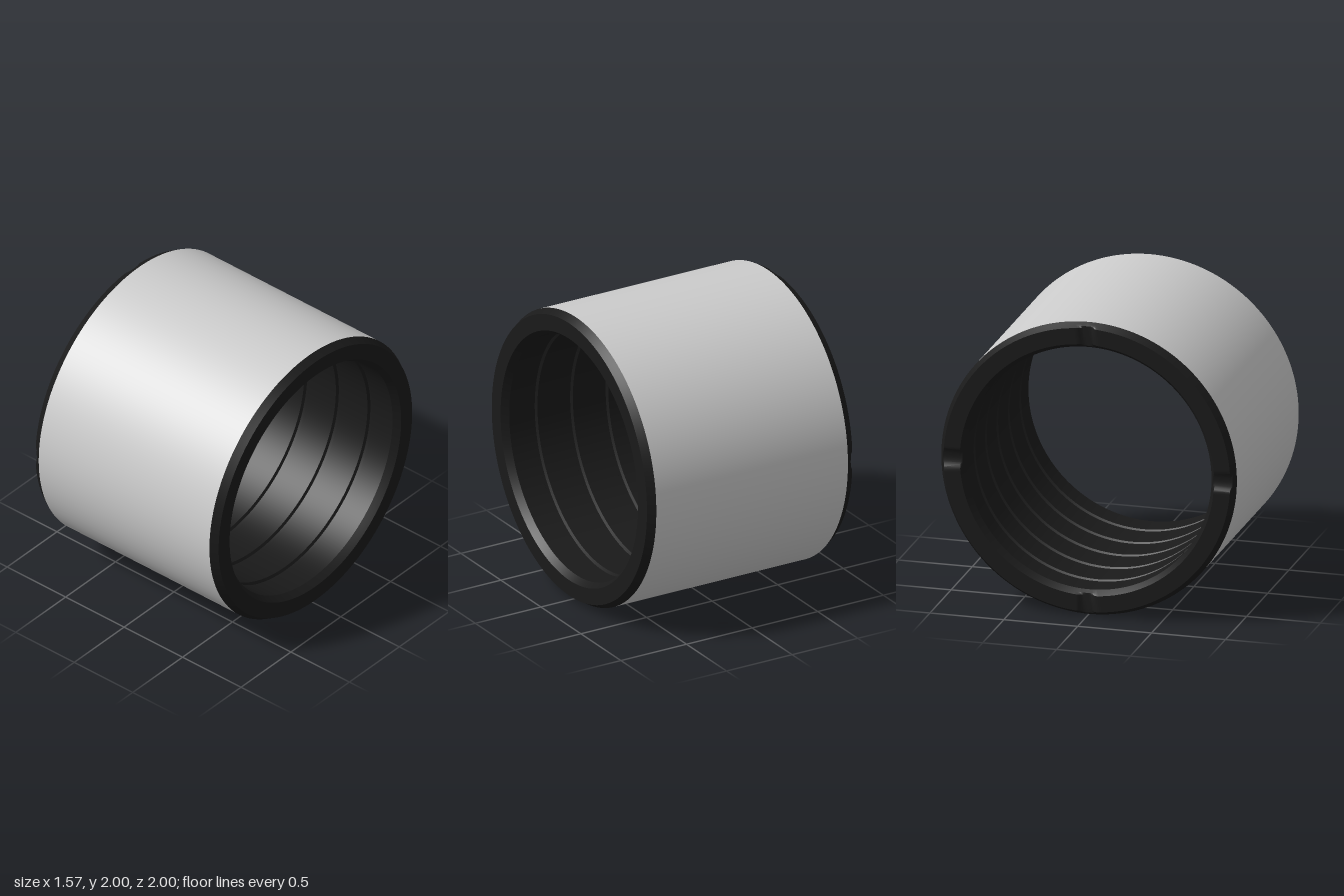
import * as THREE from 'three';
import { toCreasedNormals } from 'three/addons/utils/BufferGeometryUtils.js';

const SEGMENTS = 384;
const HALF = 0.783;       // half length of the bushing
const SLEEVE = 0.73;      // half length of the outer sleeve
const BORE = 0.83;

// Spin a [radius, position along x] profile about the x axis
function spin(points) {
  const g = new THREE.LatheGeometry(points.map(([r, a]) => new THREE.Vector2(r, a)), SEGMENTS);
  g.rotateZ(-Math.PI / 2);
  return g;
}

// Press four shallow round notches, a quarter turn apart, into the -x end
function cutNotches(g) {
  const p = g.attributes.position, radius = 0.116, centre = -0.879;
  for (let i = 0; i < p.count; i++) {
    const t = Math.min(Math.abs(p.getY(i)), Math.abs(p.getZ(i)));
    if (p.getX(i) < -0.7 && t < radius) {
      p.setX(i, Math.max(p.getX(i), centre + Math.sqrt(radius * radius - t * t)));
    }
  }
}

export function createModel() {
  const group = new THREE.Group();
  group.name = 'bushing';
  const grey = new THREE.MeshStandardMaterial({ color: 0xcccccc, side: THREE.DoubleSide });
  const black = new THREE.MeshStandardMaterial({ color: 0x1a1a1a, side: THREE.DoubleSide });

  // Outer sleeve
  const sleeve = new THREE.Mesh(spin([[1, -SLEEVE], [1, SLEEVE]]), grey);
  sleeve.name = 'outerSleeve';

  // Liner: outer chamfer, end face, inner chamfer at +x
  const end = [[1, SLEEVE], [0.988, 0.751], [0.98, 0.765], [0.97, HALF],
    [0.86, HALF], [0.847, 0.763], [BORE, 0.735]];
  const profile = [...end];

  // Five grooves around the bore
  for (let i = 2; i >= -2; i--) {
    const a = i * 0.27;
    profile.push([BORE, a + 0.02], [BORE + 0.018, a + 0.01], [BORE + 0.018, a - 0.01], [BORE, a - 0.02]);
  }

  // Mirrored end at -x
  profile.push(...end.map(([r, a]) => [r, -a]).reverse());

  const linerGeometry = spin(profile);
  cutNotches(linerGeometry);
  const liner = new THREE.Mesh(toCreasedNormals(linerGeometry, 0.4), black);
  liner.name = 'groovedLiner';

  group.add(sleeve, liner);
  group.children.forEach((m) => { m.position.y = 1; });
  return group;
}
